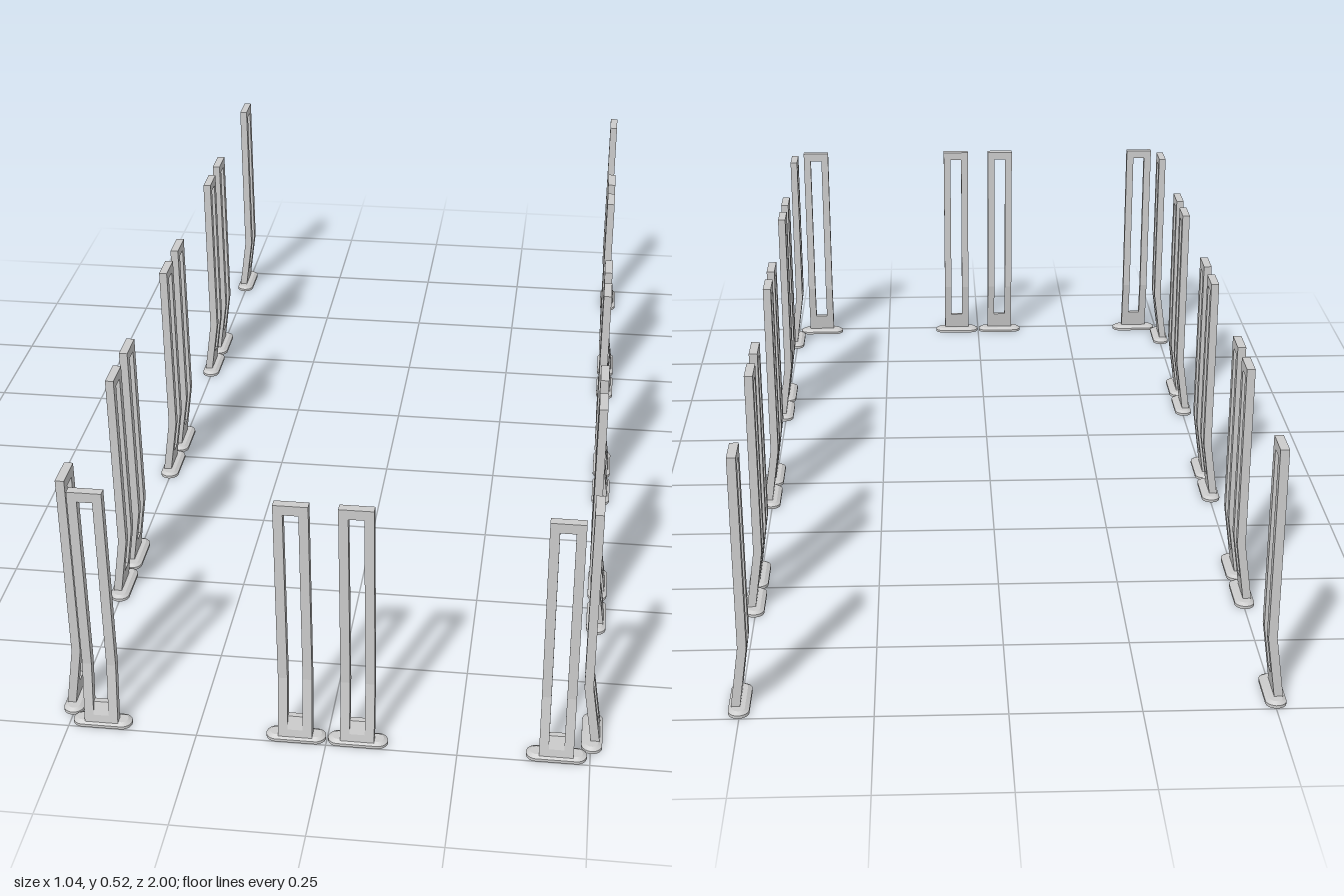
import * as THREE from 'three';

const HEIGHT = 0.52, BEND = 0.135, FLARE = 0.019;
const BACK = -0.02, FACE = -0.003;           // depth range of the straight upper strip
const HALF = 0.0325, OPEN = 0.0145;          // half widths of frame and opening
const material = new THREE.MeshStandardMaterial({ color: 0xcccccc, side: THREE.DoubleSide });

// outward shift of the strip below the bend
const shift = y => FLARE * Math.max(0, 1 - y / BEND);

// extrude a side profile [depth, height] across the width from u0 to u1
function strip(name, points, u0, u1) {
  const shape = new THREE.Shape(points.map(([w, y]) => new THREE.Vector2(w, y)));
  const geo = new THREE.ExtrudeGeometry(shape, { depth: u1 - u0, bevelEnabled: false });
  geo.translate(0, 0, -u1).rotateY(-Math.PI / 2);
  const mesh = new THREE.Mesh(geo, material);
  mesh.name = name;
  return mesh;
}

// stadium-shaped plate: a cylinder pulled apart along x
function plate(name, rTop, rBottom, height, y) {
  const n = 24;
  const geo = new THREE.CylinderGeometry(rTop, rBottom, height, n, 1, false, Math.PI / n);
  const pos = geo.attributes.position;
  for (let i = 0; i < pos.count; i++) {
    const x = pos.getX(i);
    if (Math.abs(x) > 1e-6) pos.setX(i, x + Math.sign(x) * 0.0375);
  }
  geo.translate(0, y + height / 2, 0);
  const mesh = new THREE.Mesh(geo, material);
  mesh.name = name;
  return mesh;
}

function createBracket() {
  const bracket = new THREE.Group();
  // bent legs
  const leg = [
    [BACK + FLARE, 0], [FACE + FLARE, 0], [FACE, BEND],
    [FACE, HEIGHT], [BACK, HEIGHT], [BACK, BEND],
  ];
  bracket.add(strip('leftLeg', leg, OPEN, HALF));
  bracket.add(strip('rightLeg', leg, -HALF, -OPEN));
  // bar closing the top of the opening
  bracket.add(strip('topBar', [[BACK, 0.5], [FACE, 0.5], [FACE, HEIGHT], [BACK, HEIGHT]], -OPEN, OPEN));
  // web between the feet, thinner toward its top
  bracket.add(strip('footWeb', [
    [BACK + FLARE, 0], [FACE + FLARE, 0], [FACE + shift(0.025), 0.025],
    [FACE - 0.006 + shift(0.05), 0.05], [BACK + shift(0.05), 0.05],
  ], -OPEN, OPEN));
  // base plate with a chamfered top
  bracket.add(plate('basePlate', 0.02, 0.02, 0.006, 0));
  bracket.add(plate('baseChamfer', 0.012, 0.02, 0.005, 0.006));
  return bracket;
}

export function createModel() {
  const model = new THREE.Group();
  model.name = 'bracketRows';
  const prototype = createBracket();
  const place = (name, x, z, turn) => {
    const b = prototype.clone();
    b.name = name;
    b.position.set(x, 0, z);
    b.rotation.y = turn;
    model.add(b);
  };
  // side rows: single brackets at the ends, pairs between
  const GAP = 0.0585;
  const rows = [-1 + GAP, 0.968 - GAP];
  for (const c of [-0.508, -0.016, 0.476]) rows.push(c - GAP, c + GAP);
  for (const z of rows) {
    place('leftBracket', 0.502, z, Math.PI / 2);
    place('rightBracket', -0.502, z, -Math.PI / 2);
  }
  // front row
  for (const x of [-0.4365, -0.0595, 0.0595, 0.4365]) place('frontBracket', x, 0.98, 0);
  return model;
}
